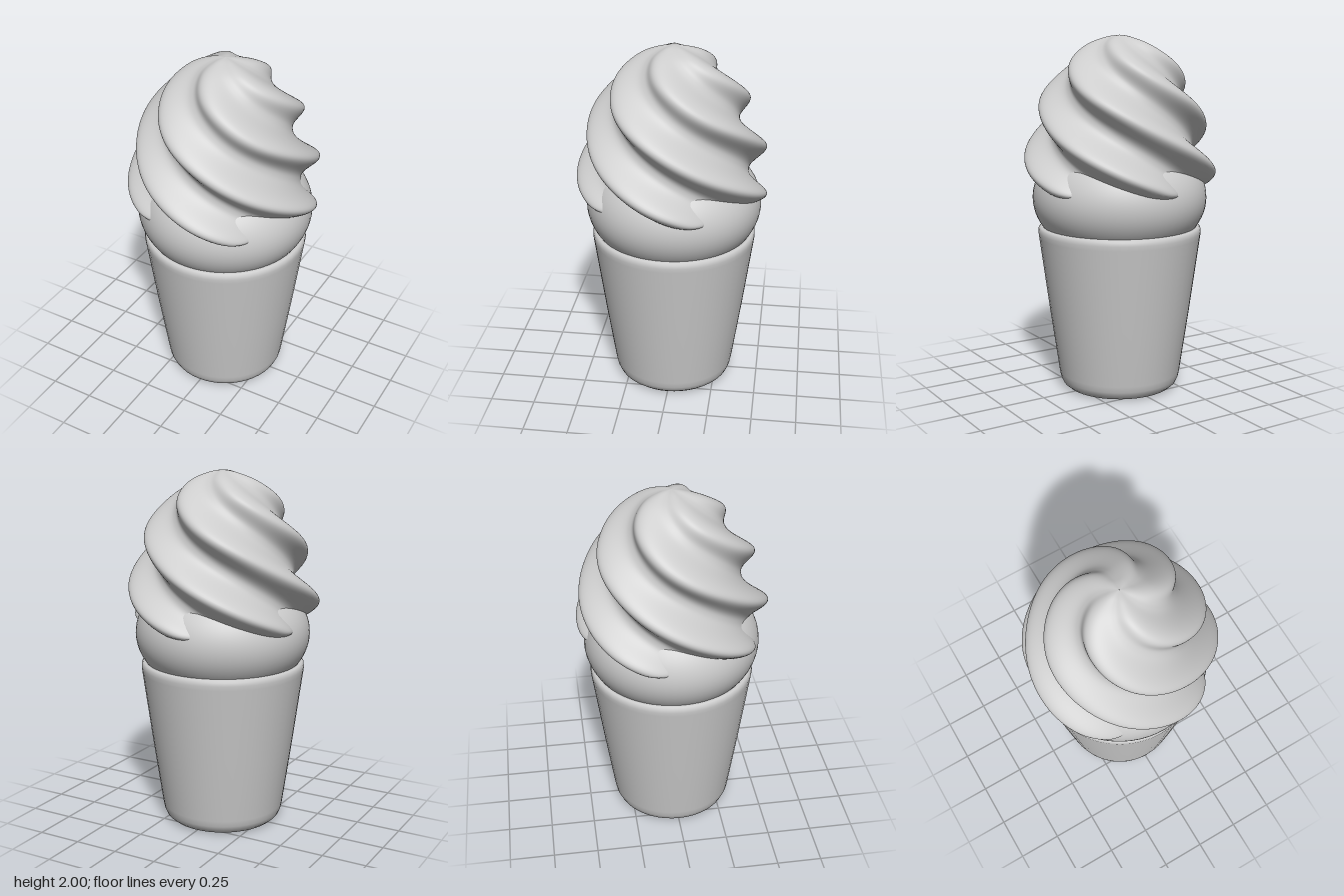
import * as THREE from 'three';

const material = new THREE.MeshStandardMaterial({ color: 0xcccccc });
const points = (list) => list.map(([r, y]) => new THREE.Vector2(r, y));

// Smooth turned part from a few profile points, bottom to top
function turned(name, profile, segments) {
  const mesh = new THREE.Mesh(new THREE.LatheGeometry(profile, segments), material);
  mesh.name = name;
  return mesh;
}

// Five-lobed star section, twisted down a domed profile
function swirlGeometry() {
  const lobes = 5, cols = 160, rows = 110;
  const profile = new THREE.SplineCurve(points([
    [0.001, 2.0], [0.07, 1.99], [0.18, 1.95], [0.29, 1.87], [0.375, 1.77], [0.44, 1.66],
    [0.485, 1.52], [0.525, 1.38], [0.54, 1.27], [0.528, 1.2], [0.495, 1.157], [0.42, 1.14], [0.25, 1.14],
  ])).getSpacedPoints(rows);
  const positions = [], index = [];
  profile.forEach(({ x: crest, y }) => {
    const twist = THREE.MathUtils.degToRad(231 - (y - 1.17) / 0.0043);
    for (let j = 0; j < cols; j++) {
      const angle = (j / cols) * Math.PI * 2 + twist;
      const wave = Math.pow(0.5 + 0.5 * Math.cos(lobes * (angle - twist)), 1.25);
      const r = crest * (0.77 + 0.23 * wave);
      positions.push(r * Math.cos(angle), y, -r * Math.sin(angle));
    }
  });
  for (let i = 0; i < rows; i++) {
    for (let j = 0; j < cols; j++) {
      const k = (j + 1) % cols;
      const a = i * cols + j, b = a + cols, c = i * cols + k, d = c + cols;
      index.push(a, b, c, b, d, c);
    }
  }
  const geometry = new THREE.BufferGeometry();
  geometry.setAttribute('position', new THREE.Float32BufferAttribute(positions, 3));
  geometry.setIndex(index);
  geometry.computeVertexNormals();
  return geometry;
}

export function createModel() {
  const model = new THREE.Group();
  model.name = 'softServeCup';

  // Tapered cup with rounded foot and rim
  model.add(turned('cup', points([
    [0, 0], [0.28, 0], [0.305, 0.006], [0.328, 0.026], [0.341, 0.055], [0.348, 0.09],
    [0.4, 0.45], [0.458, 0.88], [0.461, 0.905], [0.459, 0.925], [0.45, 0.936], [0.43, 0.94], [0, 0.94],
  ]), 48));

  // Flattened scoop resting in the cup
  const scoop = new THREE.Mesh(new THREE.SphereGeometry(0.49, 64, 40), material);
  scoop.name = 'scoop';
  scoop.scale.y = 0.35 / 0.49;
  scoop.position.y = 1.1;
  model.add(scoop);

  // Twisted cream topping
  const swirl = new THREE.Mesh(swirlGeometry(), material);
  swirl.name = 'creamSwirl';
  model.add(swirl);

  return model;
}
